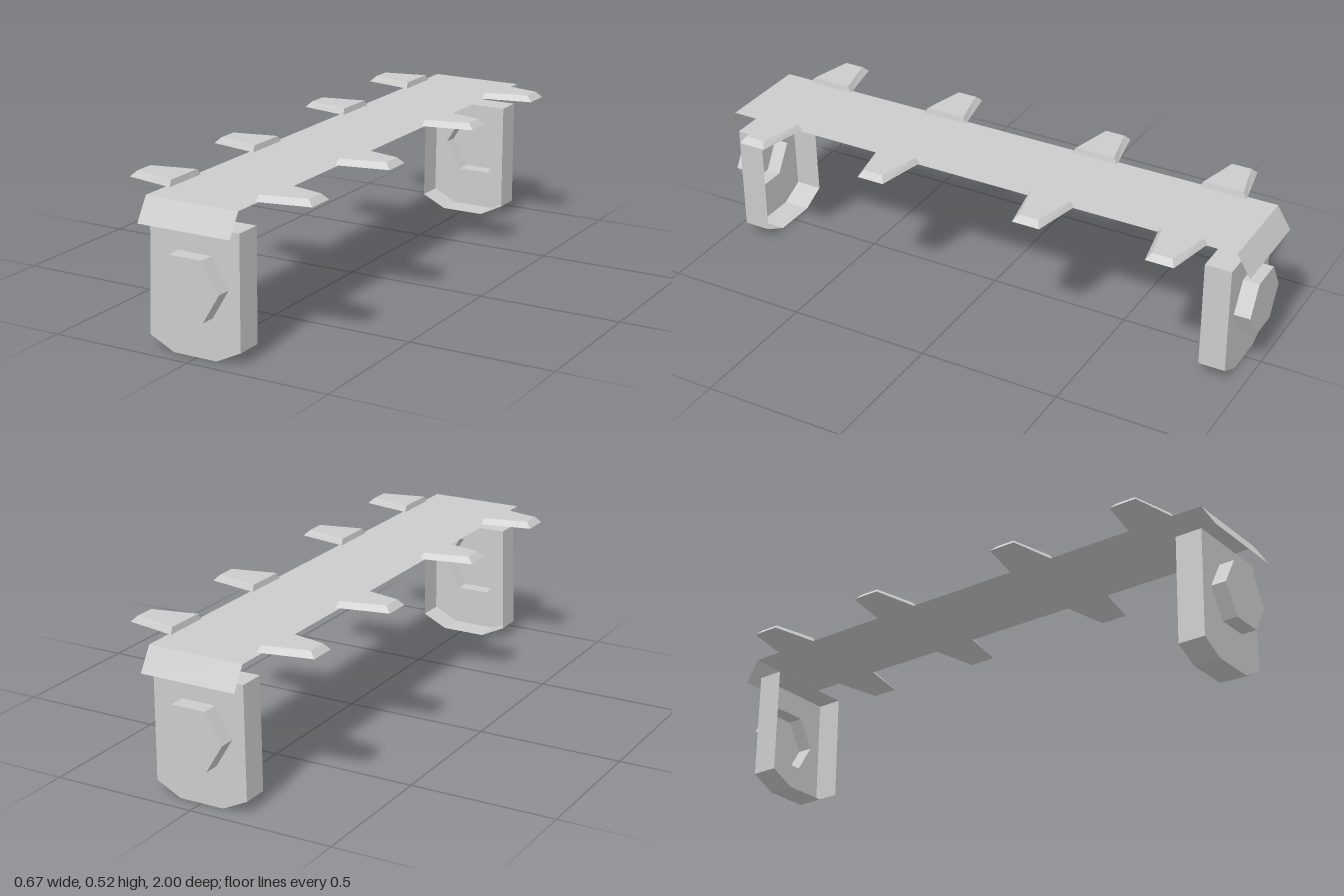
import * as THREE from 'three';

const solid = new THREE.MeshStandardMaterial({ color: 0xcccccc, flatShading: true });
const sheet = new THREE.MeshStandardMaterial({ color: 0xcccccc, flatShading: true, side: THREE.DoubleSide });

function add(parent, name, geometry, material) {
  const mesh = new THREE.Mesh(geometry, material);
  mesh.name = name;
  parent.add(mesh);
  return mesh;
}

// Open band: a counter-clockwise outline swept from z0 (inner) to z1 (outer)
function band(points, z0, z1) {
  const pos = [];
  points.forEach(([ax, ay], i) => {
    const [bx, by] = points[(i + 1) % points.length];
    pos.push(ax, ay, z0, bx, by, z0, bx, by, z1);
    pos.push(ax, ay, z0, bx, by, z1, ax, ay, z1);
  });
  const g = new THREE.BufferGeometry();
  g.setAttribute('position', new THREE.Float32BufferAttribute(pos, 3));
  g.computeVertexNormals();
  return g;
}

const toShape = (points) => new THREE.Shape(points.map(([x, y]) => new THREE.Vector2(x, y)));

// Guide horn: a box tapered outwards and towards its top, pointing to +x
function hornGeometry() {
  const g = new THREE.BoxGeometry(1, 1, 1);
  const p = g.attributes.position;
  for (let i = 0; i < p.count; i++) {
    const outer = p.getX(i) > 0, top = p.getY(i) > 0;
    const x = outer ? (top ? 0.315 : 0.335) : (top ? 0.161 : 0.157);
    const half = (outer ? 0.049 : 0.085) - (top ? 0.014 : 0);
    p.setXYZ(i, x, top ? 0.517 : 0.497, Math.sign(p.getZ(i)) * half);
  }
  g.computeVertexNormals();
  return g;
}

// End pad: hollow shell, open on its inner side, with a raised hollow hexagon
function endPad(outline, inner, face, cap) {
  const pad = new THREE.Group();
  const hex = [];
  for (let i = 0; i < 6; i++) {
    const a = (i * Math.PI) / 3;
    hex.push([0.12 * Math.cos(a), 0.238 + 0.115 * Math.sin(a)]);
  }
  const shape = toShape(outline);
  shape.holes.push(toShape(hex));
  add(pad, 'padWalls', band(outline, inner, face), sheet);
  add(pad, 'padFace', new THREE.ShapeGeometry(shape), sheet).position.z = face;
  add(pad, 'hexagonWalls', band(hex, face, cap), sheet);
  add(pad, 'hexagonCap', new THREE.ShapeGeometry(toShape(hex)), sheet).position.z = cap;
  return pad;
}

export function createModel() {
  const model = new THREE.Group();
  model.name = 'trackLink';

  // Thin top plate
  const plate = new THREE.PlaneGeometry(0.338, 1.904).rotateX(-Math.PI / 2);
  add(model, 'topPlate', plate, sheet).position.set(-0.003, 0.497, 0);

  // Flaps bent down at both ends
  const drop = 0.078, reach = 0.048;
  for (const s of [1, -1]) {
    const flap = new THREE.PlaneGeometry(0.336, Math.hypot(drop, reach));
    flap.rotateX(-Math.atan2(reach, drop));
    if (s < 0) flap.rotateY(Math.PI);
    add(model, s > 0 ? 'frontFlap' : 'backFlap', flap, sheet)
      .position.set(-0.003, 0.497 - drop / 2, s * (0.952 + reach / 2));
  }

  // Horns in four mirrored pairs
  const horn = hornGeometry();
  for (const z of [-0.763, -0.295, 0.288, 0.762]) {
    for (const s of [1, -1]) {
      const mesh = add(model, s > 0 ? 'leftHorn' : 'rightHorn', horn, solid);
      mesh.position.z = z;
      if (s < 0) mesh.rotation.y = Math.PI;
    }
  }

  // Pads below both ends
  const front = endPad([[-0.175, 0.043], [-0.088, 0], [0.07, 0], [0.159, 0.043],
    [0.162, 0.424], [-0.163, 0.424]], 0.849, 0.944, 0.997);
  front.name = 'frontPad';
  const back = endPad([[-0.163, 0.043], [-0.078, 0], [0.08, 0], [0.168, 0.043],
    [0.163, 0.424], [-0.163, 0.424]], 0.845, 0.938, 0.995);
  back.name = 'backPad';
  back.rotation.y = Math.PI;
  model.add(front, back);

  return model;
}
